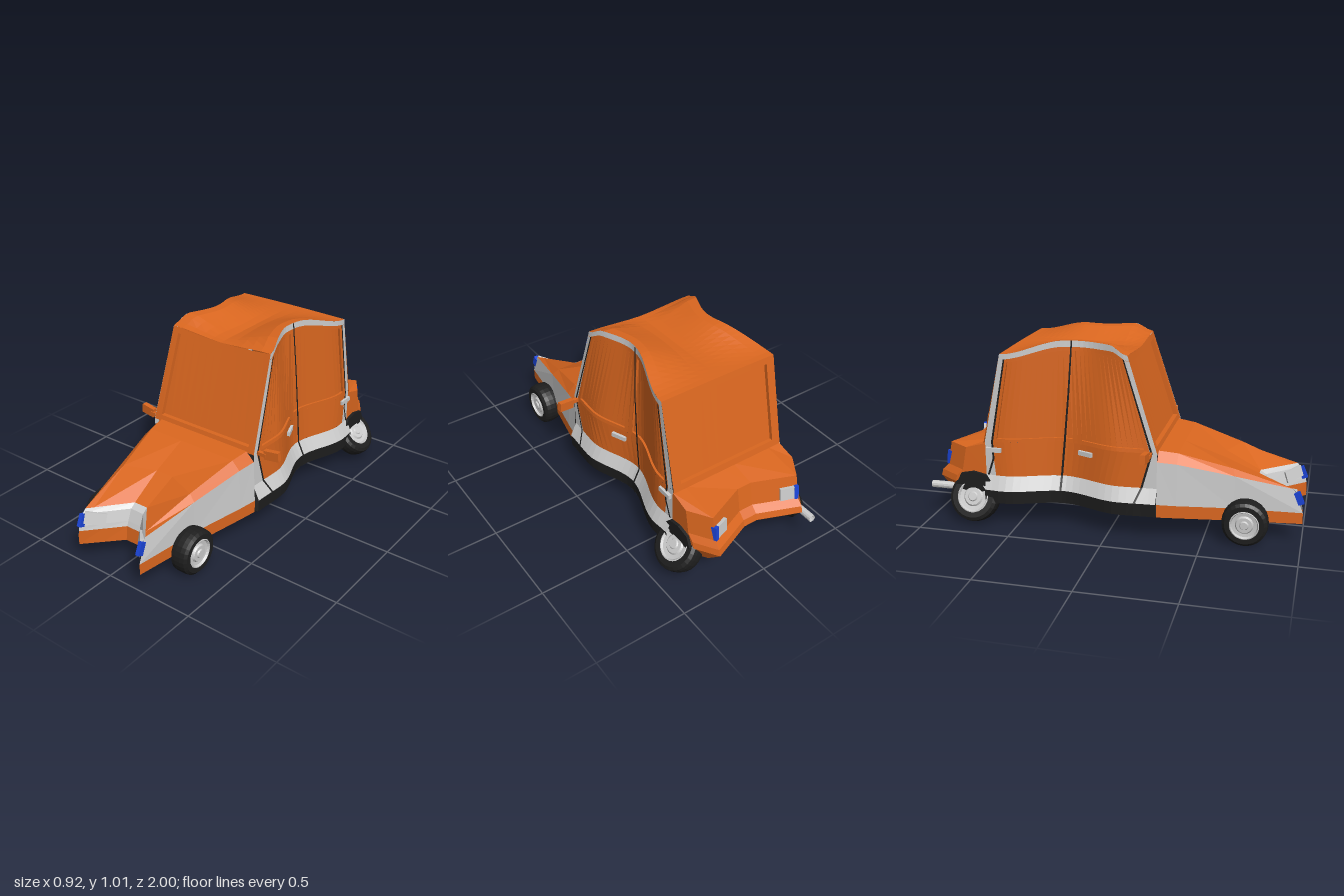
import * as THREE from 'three';

const ORANGE = 0xd9661f, GREY = 0xcccccc, BLACK = 0x1e1e1e, BLUE = 0x1a44d8;
const materials = {};
const paint = (c) => (materials[c] ??= new THREE.MeshStandardMaterial({ color: c, flatShading: true, side: THREE.DoubleSide }));
const lerp = THREE.MathUtils.lerp;
const range = (n, a = 0, b = 1) => Array.from({ length: n + 1 }, (_, i) => lerp(a, b, i / n));

// Eased lookup in a table of [z, value], z falling
function ease(table, z) {
  if (z >= table[0][0]) return table[0][1];
  for (let i = 1; i < table.length; i++) {
    const [z0, a] = table[i - 1], [z1, b] = table[i];
    if (z >= z1) return lerp(a, b, THREE.MathUtils.smoothstep((z0 - z) / (z0 - z1), 0, 1));
  }
  return table[table.length - 1][1];
}
const waist = (z) => ease([[0.26, 0.335], [0.06, 0.345], [-0.25, 0.26], [-0.57, 0.345], [-0.67, 0.338]], z);
const roofHalf = (z) => ease([[0.1, 0.315], [-0.17, 0.235], [-0.57, 0.34]], z);
const roofEdgeY = (z) => ease([[0.1, 0.972], [0, 1.018], [-0.25, 1.018], [-0.57, 0.95]], z);

// Skin over rows of points
function skin(name, rows, color) {
  const n = rows[0].length, index = [];
  for (let i = 0; i < rows.length - 1; i++)
    for (let j = 0; j < n - 1; j++) {
      const a = i * n + j;
      index.push(a, a + n, a + 1, a + 1, a + n, a + n + 1);
    }
  let g = new THREE.BufferGeometry();
  g.setAttribute('position', new THREE.Float32BufferAttribute(rows.flat(2), 3));
  g.setIndex(index);
  g = g.toNonIndexed();
  g.computeVertexNormals();
  const m = new THREE.Mesh(g, paint(color));
  m.name = name;
  return m;
}
// Panel with a raised frame and a sunken pane; f(u, v, depth) gives the surface
function recessed(name, f, mu, mv, depth, color, n = 12) {
  const us = [[0, 0], [mu, 0], ...range(n, mu, 1 - mu).map((u) => [u, 1]), [1 - mu, 0], [1, 0]];
  const vs = [[0, 0], [mv, 0], [mv, 1], [1 - mv, 1], [1 - mv, 0], [1, 0]];
  return skin(name, vs.map(([v, a]) => us.map(([u, b]) => f(u, v, a * b * depth))), color);
}
function box(name, size, pos, color, rot = [0, 0, 0]) {
  const m = new THREE.Mesh(new THREE.BoxGeometry(...size), paint(color));
  m.position.set(...pos);
  m.rotation.set(...rot);
  m.name = name;
  return m;
}

// Side of the cabin: level 0 floor, 1 sill, 2 trim, 3 belt, 4 roof rail; u runs front to back
function level(k, u) {
  if (k === 4) {
    const z = lerp(0.1, -0.57, u);
    return [roofHalf(z), roofEdgeY(z), z];
  }
  const z = lerp(0.26, -0.67, u);
  return [waist(z) + [0.032, 0.036, 0, 0][k], [0.14, 0.21, 0.285, 0.475][k], z];
}
function side(sx, k, u, out = 0) {
  const i = Math.min(3, Math.floor(k)), a = level(i, u), b = level(i + 1, u);
  const p = a.map((v, j) => lerp(v, b[j], k - i));
  return [sx * (p[0] + out), p[1], p[2]];
}

function wheel(name, r, w, pos, tilt, sx) {
  const g = new THREE.Group(), h = w / 2;
  const lathe = (part, pts, color) => {
    const m = new THREE.Mesh(new THREE.LatheGeometry(pts.map((p) => new THREE.Vector2(...p)), 28), paint(color));
    m.name = part;
    g.add(m);
  };
  lathe('tyre', [[0, -h], [r * 0.85, -h], [r * 0.97, -h * 0.75], [r, -h * 0.3], [r, h * 0.3], [r * 0.97, h * 0.75],
    [r * 0.85, h], [r * 0.64, h], [r * 0.6, h * 0.8]], BLACK);
  lathe('rim', [[r * 0.64, h], [r * 0.6, h * 1.04], [r * 0.55, h * 0.8], [r * 0.4, h * 0.75], [r * 0.34, h * 0.95],
    [r * 0.2, h * 0.95], [r * 0.16, h * 1.1], [0, h * 1.1]], GREY);
  g.rotation.z = sx * (-Math.PI / 2 + tilt);
  g.position.set(...pos);
  g.name = name;
  return g;
}

// Nose and tail rows across the car, both notched at the middle
const NOSE = [-1, -0.6, -0.2, 0.2, 0.6, 1];
const noseRow = (y, zEdge, zMid, x = 0.2) =>
  NOSE.map((f) => [x * f, y, lerp(zMid, zEdge, Math.max(0, (Math.abs(f) - 0.2) / 0.8))]);
const TAIL = [[-1, -0.85], [-0.78, -0.965], [-0.12, -0.875], [0.12, -0.875], [0.78, -0.965], [1, -0.85]];
const tailRow = (y, dz) => TAIL.map(([f, z]) => [0.34 * f, y, z + dz]);

export function createModel() {
  const car = new THREE.Group();
  car.name = 'car';
  const add = (...m) => car.add(...m);

  // Roof, with a valley along the middle
  add(skin('roof', range(20).map((u) => range(10, -1, 1).map((f) => {
    const [x, y, z] = level(4, u);
    return [x * f, lerp(0.953, y, Math.min(1, Math.max(0, Math.abs(f) - 0.1) / 0.75)), z];
  })), ORANGE));

  // Windscreen and rear window
  const pane = (xb, yb, zb, xt, yt, zt) => (u, v, d) => [lerp(xb, xt, v) * (2 * u - 1),
    lerp(yb, yt, v) - v * (yt - 0.953) * Math.min(1, 4 * u * (1 - u)), lerp(zb, zt, v) - d];
  add(recessed('windscreen', pane(0.335, 0.47, 0.26, 0.315, 0.972, 0.1), 0.06, 0.06, 0.025, ORANGE));
  add(recessed('rearWindow', pane(0.338, 0.46, -0.68, 0.34, 0.95, -0.57), 0.07, 0.07, -0.02, ORANGE));

  // Bonnet
  const hood = [[0.26, 0.26, 0.335, 0.43, 0.478], [0.36, 0.36, 0.318, 0.42, 0.466], [0.65, 0.55, 0.258, 0.36, 0.39]]
    .map(([zE, zM, x, yE, yM]) => [-1, -0.86, -0.2, 0.2, 0.86, 1].map((f) =>
      [x * f, Math.abs(f) === 1 ? yE : yM, lerp(zM, zE, Math.abs(f))]));
  hood.push([-1, -0.86, -0.2, 0.2, 0.86, 1].map((f) => [0.2 * f, 0.297, lerp(0.755, 0.945, (Math.abs(f) - 0.2) / 0.8)]));
  add(skin('bonnet', hood, ORANGE));

  // Nose band and bumper
  const noseMid = noseRow(0.188, 0.998, 0.82, 0.203);
  add(skin('noseBand', [noseRow(0.297, 0.945, 0.755), noseRow(0.275, 0.965, 0.785), noseRow(0.215, 0.992, 0.81, 0.203), noseMid], GREY));
  add(skin('frontBumper', [noseMid, noseRow(0.11, 1, 0.83, 0.205)], ORANGE));

  // Boot lid and tail
  const tail = [[0.43, 0.07], [0.3, 0.045], [0.265, 0.01], [0.23, 0], [0.14, 0.09]];
  const tailRows = tail.map(([y, dz]) => tailRow(y, dz));
  add(skin('bootLid', [TAIL.map(([f]) => [0.338 * f, 0.46, -0.67]), tailRows[0]], ORANGE));
  add(skin('tailPanel', tailRows, ORANGE));

  // Floor
  const floorRow = (w, y, z) => NOSE.map((f) => [w * f, y, z]);
  add(skin('floor', [noseRow(0.11, 1, 0.83, 0.205), floorRow(0.26, 0.117, 0.65), floorRow(0.345, 0.13, 0.26),
    ...range(16).map((u) => { const p = level(0, u); return floorRow(...p); }), floorRow(0.338, 0.14, -0.67)], BLACK));
  add(skin('rearFloor', [TAIL.map(([f]) => [0.338 * f, 0.14, -0.67]), tailRows[4]], BLACK));

  for (const s of [1, -1]) {
    const part = s > 0 ? 'left' : 'right';
    // Patch of the cabin side between two levels, each with its own span
    const patch = (name, k0, a, k1, b, color, n = 24) => add(skin(part + name,
      [range(n, ...a).map((u) => side(s, k0, u)), range(n, ...b).map((u) => side(s, k1, u))], color));
    patch('Sill', 0, [0, 1], 1, [0, 1], BLACK);
    patch('SideTrim', 1, [0, 1], 2, [0, 1], GREY);
    patch('DoorLower', 2, [0.09, 0.94], 3, [0.025, 0.96], ORANGE);
    patch('FrontPost', 2, [0, 0.09], 3, [0, 0.025], GREY, 1);
    patch('RearPost', 2, [0.94, 1], 3, [0.96, 1], GREY, 1);
    patch('RoofRail', 3.94, [0, 1], 4, [0, 1], GREY);
    patch('WindscreenPillar', 3, [0, 0.04], 3.94, [0, 0.04], GREY, 2);
    patch('RearPillar', 3, [0.96, 1], 3.94, [0.96, 1], GREY, 2);
    for (const [name, u0, u1] of [['FrontWindow', 0.04, 0.47], ['RearWindow', 0.47, 0.96]])
      add(recessed(part + name, (u, v, d) => side(s, lerp(3, 3.94, v), lerp(u0, u1, u), -d), 0.06, 0.04, 0.012, ORANGE));

    // Door seams
    const seam = (pts) => add(skin(part + 'DoorSeam', pts.map(([k, u]) =>
      [-0.006, 0.006].map((d) => side(s, k, u + d, 0.004))), BLACK));
    seam([[0, 0.57], [1, 0.57], [2, 0.57], [3, 0.55], [3.5, 0.51], [4, 0.465]]);
    seam([[1, 0.12], [2, 0.085], [3, 0.03], [3.94, 0.045]]);
    seam([[2, 0.985], [2.5, 0.95], [3, 0.955], [3.94, 0.955]]);

    // Door handles
    for (const [z, yaw] of [[-0.13, 0.38], [-0.62, 0]])
      add(box(part + 'DoorHandle', [0.02, 0.024, 0.085], [s * (waist(z) + 0.006), 0.43, z], GREY, [0, s * yaw, 0]));

    // Front wing and its lower strip
    const wing = [[0.26, 0.345, 0.13, 0.2], [0.36, 0.325, 0.127, 0.195], [0.65, 0.26, 0.117, 0.185], [1, 0.205, 0.11, 0.17]];
    const strip = wing.map(([z, x, , y]) => [s * x, y, z]);
    add(skin(part + 'WingStrip', [wing.map(([z, x, y]) => [s * x, y, z]), strip], ORANGE));
    add(skin(part + 'FrontWing', [strip, hood.map((row) => row[s > 0 ? 5 : 0])], GREY));

    // Rear quarter and wheel arch
    add(skin(part + 'RearQuarter', tail.map(([y, dz], i) =>
      [[s * 0.338, i ? y : 0.46, -0.67], [s * 0.34, y, -0.85 + dz]]), ORANGE));
    const arch = new THREE.Shape([[0.58, 0.14], [0.6, 0.21], [0.67, 0.285], [0.74, 0.3], [0.81, 0.285], [0.84, 0.22], [0.85, 0.14]]
      .map((p) => new THREE.Vector2(...p)));
    const archMesh = new THREE.Mesh(new THREE.ExtrudeGeometry(arch, { depth: 0.03, bevelEnabled: false }), paint(BLACK));
    archMesh.rotation.y = Math.PI / 2;
    archMesh.position.x = s > 0 ? 0.325 : -0.355;
    archMesh.name = part + 'WheelArch';
    add(archMesh);

    // Wheels; the rear pair leans out
    add(wheel(part + 'FrontWheel', 0.12, 0.1, [s * 0.295, 0.13, 0.715], 0, s));
    add(s > 0 ? wheel('leftRearWheel', 0.135, 0.088, [0.345, 0.165, -0.74], 0.7, s)
      : wheel('rightRearWheel', 0.135, 0.088, [-0.334, 0.15, -0.74], 0.35, s));

    // Lamps with blue indicators
    add(box(part + 'Headlamp', [0.11, 0.062, 0.025], [s * 0.155, 0.247, 0.925], GREY, [-0.3, -s * 0.82, 0]));
    add(box(part + 'FrontIndicator', [0.022, 0.068, 0.032], [s * 0.196, 0.247, 0.977], BLUE, [-0.4, 0, 0]));
    add(box(part + 'TailLamp', [0.075, 0.07, 0.025], [s * 0.212, 0.338, -0.893], GREY, [0.12, s * 0.35, 0]));
    add(box(part + 'RearIndicator', [0.022, 0.078, 0.03], [s * 0.258, 0.338, -0.908], BLUE, [0.12, s * 0.35, 0]));

    // Door mirror
    add(box(part + 'MirrorArm', [0.06, 0.02, 0.02], [s * 0.36, 0.472, 0.225], ORANGE));
    add(box(part + 'Mirror', [0.085, 0.05, 0.028], [s * 0.416, 0.476, 0.213], ORANGE, [0, s * 0.08, s * 0.1]));
  }

  // Exhaust pipe
  const pipe = new THREE.Mesh(new THREE.CylinderGeometry(0.02, 0.02, 0.16, 12, 1, true), paint(GREY));
  pipe.rotation.x = Math.PI / 2;
  pipe.position.set(-0.307, 0.19, -0.92);
  pipe.name = 'exhaustPipe';
  add(pipe);
  return car;
}
